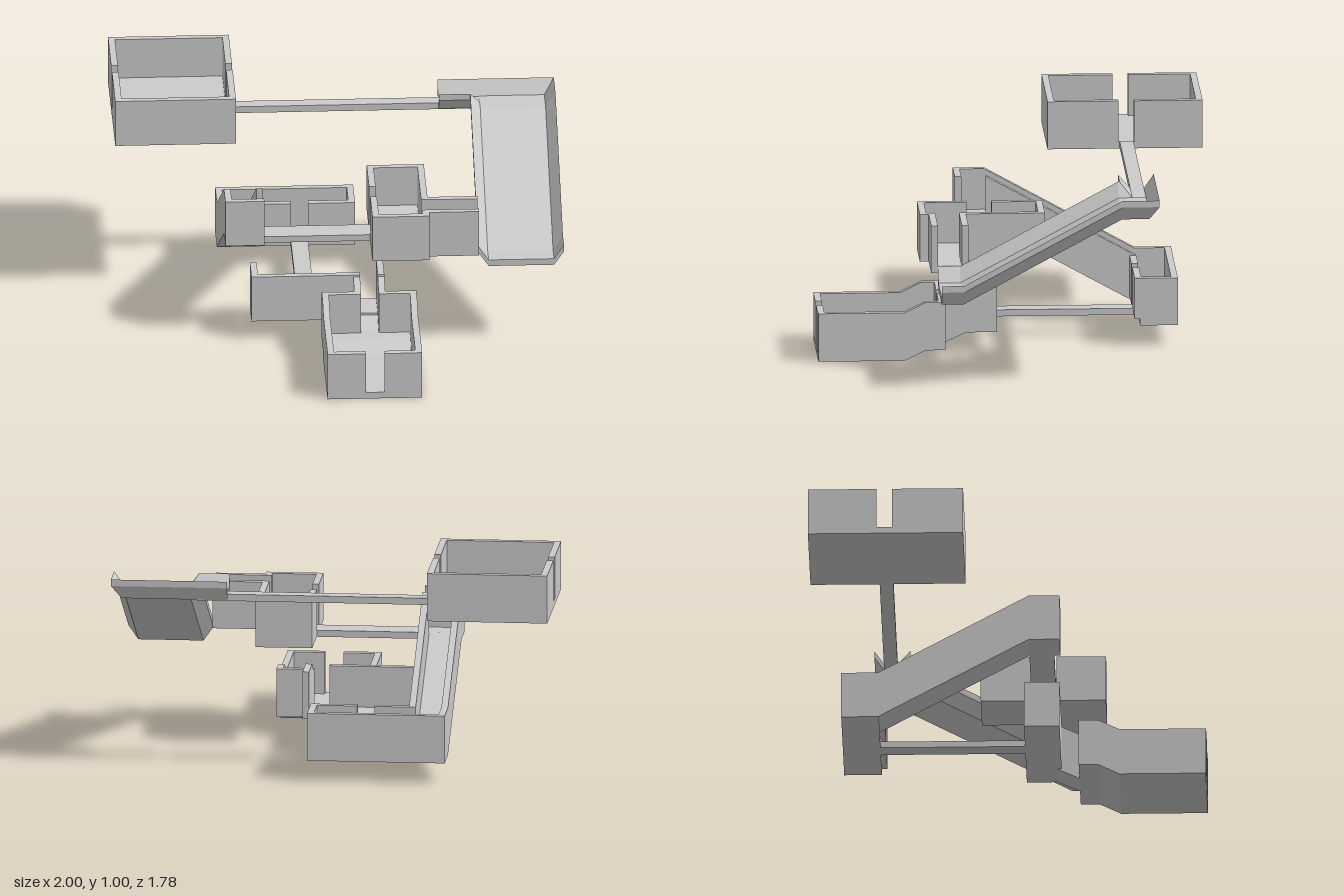
import * as THREE from 'three';

const mat = new THREE.MeshStandardMaterial({ color: 0xcccccc, flatShading: true });
const T = 0.03; // wall and floor thickness

function addMesh(parent, name, geo) {
  const m = new THREE.Mesh(geo, mat);
  m.name = name;
  parent.add(m);
  return m;
}

function section(parent, name) {
  const g = new THREE.Group();
  g.name = name;
  parent.add(g);
  return g;
}

// Box given by its extents on each axis
function box(parent, name, x0, x1, y0, y1, z0, z1) {
  const geo = new THREE.BoxGeometry(x1 - x0, y1 - y0, z1 - z0);
  geo.translate((x0 + x1) / 2, (y0 + y1) / 2, (z0 + z1) / 2);
  return addMesh(parent, name, geo);
}

// Closed slab between two top edge lines A and B, with vertical thickness t
function slab(parent, name, A, B, t) {
  const low = ([x, y, z]) => [x, y - t, z];
  const pos = [];
  const quad = (a, b, c, d) => pos.push(...a, ...b, ...c, ...a, ...c, ...d);
  const n = A.length - 1;
  for (let i = 0; i < n; i++) {
    const A0 = A[i], A1 = A[i + 1], B0 = B[i], B1 = B[i + 1];
    quad(A0, A1, B1, B0);
    quad(low(A0), low(B0), low(B1), low(A1));
    quad(low(A0), low(A1), A1, A0);
    quad(low(B0), B0, B1, low(B1));
  }
  quad(low(A[0]), A[0], B[0], low(B[0]));
  quad(low(A[n]), low(B[n]), B[n], A[n]);
  const geo = new THREE.BufferGeometry();
  geo.setAttribute('position', new THREE.Float32BufferAttribute(pos, 3));
  geo.computeVertexNormals();
  return addMesh(parent, name, geo);
}

// Slab of constant x range following a (z, bottom y) path towards +z
function run(parent, name, x0, x1, path, height) {
  const edge = (x) => path.map(([z, y]) => [x, y + height, z]);
  return slab(parent, name, edge(x0), edge(x1), height);
}

// Wall along z (at x0) or along x (at z0), broken by an optional door [from, to]
function wallZ(parent, name, x0, y0, y1, z0, z1, door) {
  const parts = door ? [[z0, door[0]], [door[1], z1]] : [[z0, z1]];
  for (const [a, b] of parts) box(parent, name, x0, x0 + T, y0, y1, a, b);
}
function wallX(parent, name, z0, y0, y1, x0, x1, door) {
  const parts = door ? [[x0, door[0]], [door[1], x1]] : [[x0, x1]];
  for (const [a, b] of parts) box(parent, name, a, b, y0, y1, z0, z0 + T);
}

// Open-topped room with a floor and a door per side where wanted
function room(parent, name, x0, x1, y0, y1, z0, z1, doors = {}) {
  const g = section(parent, name);
  box(g, 'floor', x0, x1, y0, y0 + T, z0, z1);
  const yf = y0 + T;
  wallZ(g, 'rightWall', x0, yf, y1, z0, z1, doors.right);
  wallZ(g, 'leftWall', x1 - T, yf, y1, z0, z1, doors.left);
  wallX(g, 'backWall', z0, yf, y1, x0 + T, x1 - T, doors.back);
  wallX(g, 'frontWall', z1 - T, yf, y1, x0 + T, x1 - T, doors.front);
  return g;
}

export function createModel() {
  const model = new THREE.Group();
  model.name = 'walkwayMap';

  // Upper room and the narrow bridge leading from it
  room(model, 'upperRoom', -1, -0.455, 0.785, 1.005, -0.89, -0.19,
    { left: [-0.58, -0.51], right: [-0.58, -0.51] });
  box(model, 'upperBridge', -0.455, 0.66, 0.787, 0.818, -0.578, -0.516);

  // Wide trough ramp with flared sides and a mitred corner at the top
  const chute = section(model, 'chute');
  const fy = 0.82, rim = 0.885, rise = 0.065;
  const path = [[-0.455, fy], [0.26, 0.435], [0.36, 0.435]];
  const line = (x, dy, z0) =>
    [[x, fy + dy, z0], ...path.map(([z, y]) => [x, y + dy, z])];
  slab(chute, 'chuteFloor', line(0.66, 0, -0.578), line(0.955, 0, -0.578), T);
  slab(chute, 'chuteLeftSide', line(0.955, 0, -0.578), line(1, rise, -0.622), T);
  slab(chute, 'chuteRightSide', line(0.615, rise, -0.46), line(0.66, 0, -0.516), T);
  slab(chute, 'chuteBackSide', [[0.475, fy, -0.578], [0.955, fy, -0.578]],
    [[0.475, rim, -0.622], [1, rim, -0.622]], T);
  slab(chute, 'chuteEntrySide', [[0.475, rim, -0.46], [0.615, rim, -0.46]],
    [[0.475, fy, -0.516], [0.66, fy, -0.516]], T);

  // Middle room with its side passage
  const m0 = 0.472, m1 = 0.69, mf = m0 + T;
  room(model, 'middleRoom', 0.132, 0.39, m0, m1, -0.135, 0.43,
    { right: [0.095, 0.207], left: [0.25, 0.36] });
  const passage = section(model, 'middlePassage');
  box(passage, 'floor', 0.39, 0.615, m0, mf, 0.222, 0.39);
  wallX(passage, 'backWall', 0.222, mf, m1, 0.39, 0.615);
  wallX(passage, 'frontWall', 0.36, mf, m1, 0.39, 0.615);

  // Open walkway to the corner at the head of the descending ramp
  box(model, 'middleWalkway', -0.347, 0.132, m0, mf, 0.095, 0.207);
  const corner = section(model, 'middleCorner');
  box(corner, 'floor', -0.523, -0.347, m0, mf, 0.095, 0.235);
  wallX(corner, 'frontWall', 0.205, mf, m1, -0.523, -0.347);
  wallZ(corner, 'rightWall', -0.523, mf, m1, 0.095, 0.205);

  // Descending ramp with side walls
  const l0 = 0.095, l1 = 0.314, lf = l0 + T;
  const descent = section(model, 'descendingRamp');
  const down = [[-0.585, l0], [0.095, m0]];
  run(descent, 'rampFloor', -0.523, -0.347, down, T);
  run(descent, 'rampRightWall', -0.523, -0.523 + T, down, m1 - m0);
  run(descent, 'rampLeftWall', -0.347 - T, -0.347, down, m1 - m0);

  // Lower back room, open to the ramp and to a link walkway
  const back = section(model, 'lowerBackRoom');
  box(back, 'floor', -0.523, 0.1, l0, lf, -0.75, -0.58);
  wallX(back, 'backWall', -0.75, lf, l1, -0.523, 0.1);
  wallZ(back, 'rightWall', -0.523, lf, l1, -0.72, -0.56);
  wallZ(back, 'leftWall', 0.07, lf, l1, -0.72, -0.58);
  wallX(back, 'frontWall', -0.585, lf, l1, -0.377, 0.1, [-0.19, -0.112]);
  box(model, 'lowerWalkway', -0.19, -0.112, l0, lf, -0.585, 0.075);

  // Lower hall, open at the back
  const hall = section(model, 'lowerHall');
  box(hall, 'floor', -0.405, 0.195, l0, lf, 0.072, 0.232);
  wallZ(hall, 'rightWall', -0.405, lf, l1, 0.072, 0.232);
  wallZ(hall, 'leftWall', 0.165, lf, l1, 0.072, 0.232);
  wallX(hall, 'frontWall', 0.202, lf, l1, -0.375, 0.085);

  // Sloped passage down to the front room
  const slope = section(model, 'frontPassage');
  const sp = [[0.21, l0], [0.315, 0.047]];
  run(slope, 'floor', 0.055, 0.195, sp, T);
  run(slope, 'rightWall', 0.055, 0.085, sp, l1 - l0);
  run(slope, 'leftWall', 0.165, 0.195, sp, l1 - l0);

  // Front room with a step-down floor and a door in the front
  const front = section(model, 'frontRoom');
  const fp = [[0.312, 0.047], [0.4, 0.047], [0.495, 0], [0.885, 0]];
  const fh = 0.222;
  run(front, 'floor', -0.092, 0.335, fp, T);
  run(front, 'rightWall', -0.092, -0.092 + T, fp, fh);
  run(front, 'leftWall', 0.335 - T, 0.335, fp, fh);
  wallX(front, 'frontWall', 0.857, T, fh, -0.062, 0.305, [0.08, 0.165]);
  wallX(front, 'backWall', 0.312, 0.077, 0.047 + fh, -0.062, 0.305, [0.085, 0.165]);

  return model;
}
